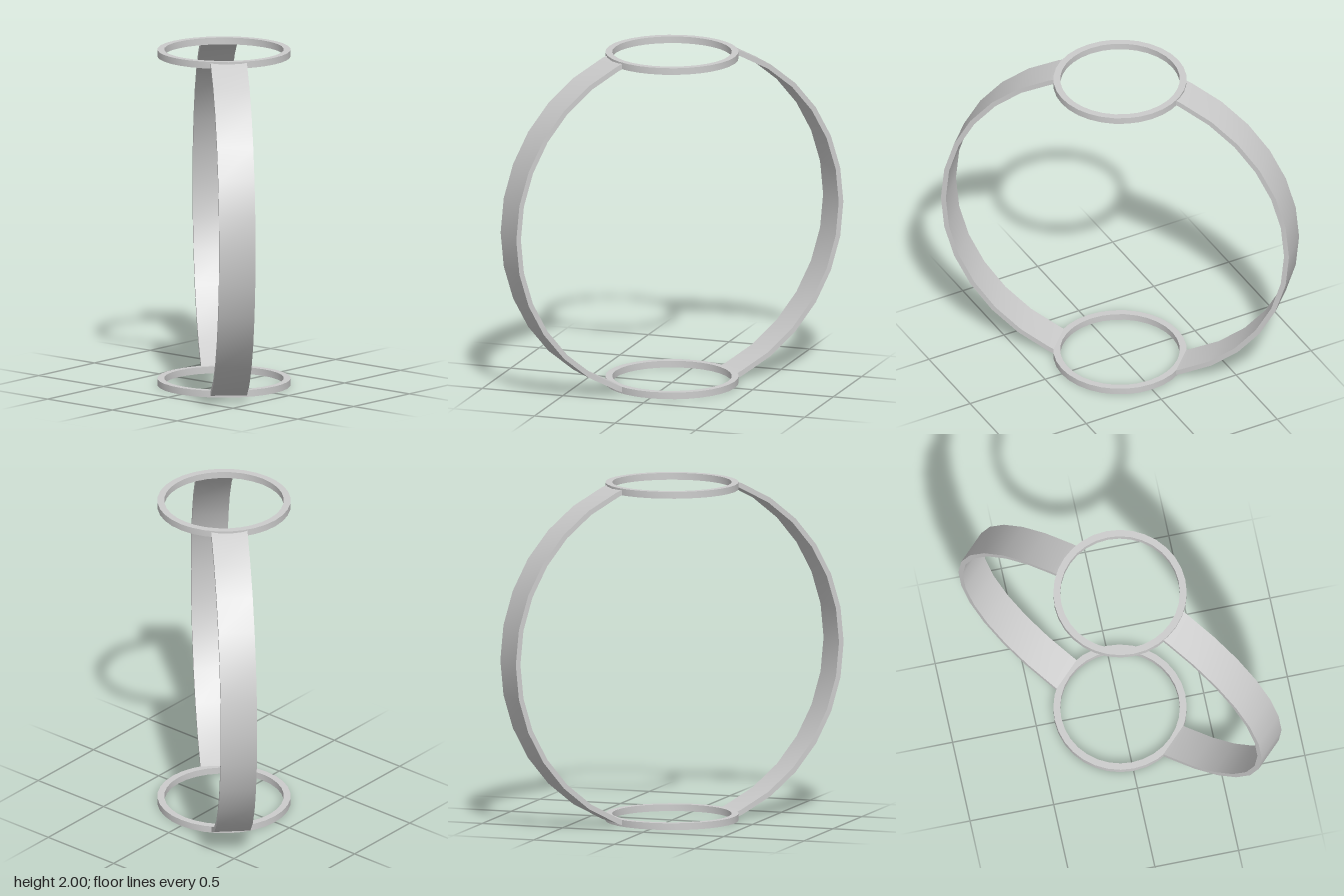
import * as THREE from 'three';
import { toCreasedNormals } from 'three/addons/utils/BufferGeometryUtils.js';

const material = new THREE.MeshStandardMaterial({ color: 0xcccccc });

function makeMesh(name, geometry) {
  const mesh = new THREE.Mesh(toCreasedNormals(geometry, 0.6), material);
  mesh.name = name;
  return mesh;
}

// Flat ring of rectangular section, standing on y = 0
function ringGeometry(inner, outer, height) {
  const profile = [[inner, 0], [outer, 0], [outer, height], [inner, height], [inner, 0]];
  return new THREE.LatheGeometry(profile.map(([r, y]) => new THREE.Vector2(r, y)), 32);
}

// Curved strap: an arc of rectangular section, bulging along +x
function bandGeometry(inner, outer, width) {
  const step = Math.PI / 16;
  const end = THREE.MathUtils.degToRad(69.4);
  const angles = [-end];
  for (let i = -6; i <= 6; i++) angles.push(i * step);
  angles.push(end);
  const at = (r) => (a) => new THREE.Vector2(r * Math.cos(a), r * Math.sin(a));
  const outline = [...angles.map(at(outer)), ...angles.reverse().map(at(inner))];
  const geometry = new THREE.ExtrudeGeometry(new THREE.Shape(outline), { depth: width, bevelEnabled: false });
  return geometry.translate(0, 0, -width / 2);
}

export function createModel() {
  const model = new THREE.Group();
  model.name = 'ringFrame';

  // Top and bottom rings
  const height = 0.04;
  for (const [name, y] of [['bottomRing', 0], ['topRing', 2 - height]]) {
    const ring = makeMesh(name, ringGeometry(0.35, 0.39, height));
    ring.position.y = y;
    model.add(ring);
  }

  // Two opposite bands on the diagonal, joining the rings
  for (const [name, turn] of [['rightBackBand', Math.PI / 4], ['leftFrontBand', Math.PI * 1.25]]) {
    const band = makeMesh(name, bandGeometry(1.03, 1.06, 0.212));
    band.position.y = 1;
    band.rotation.y = turn;
    model.add(band);
  }
  return model;
}
